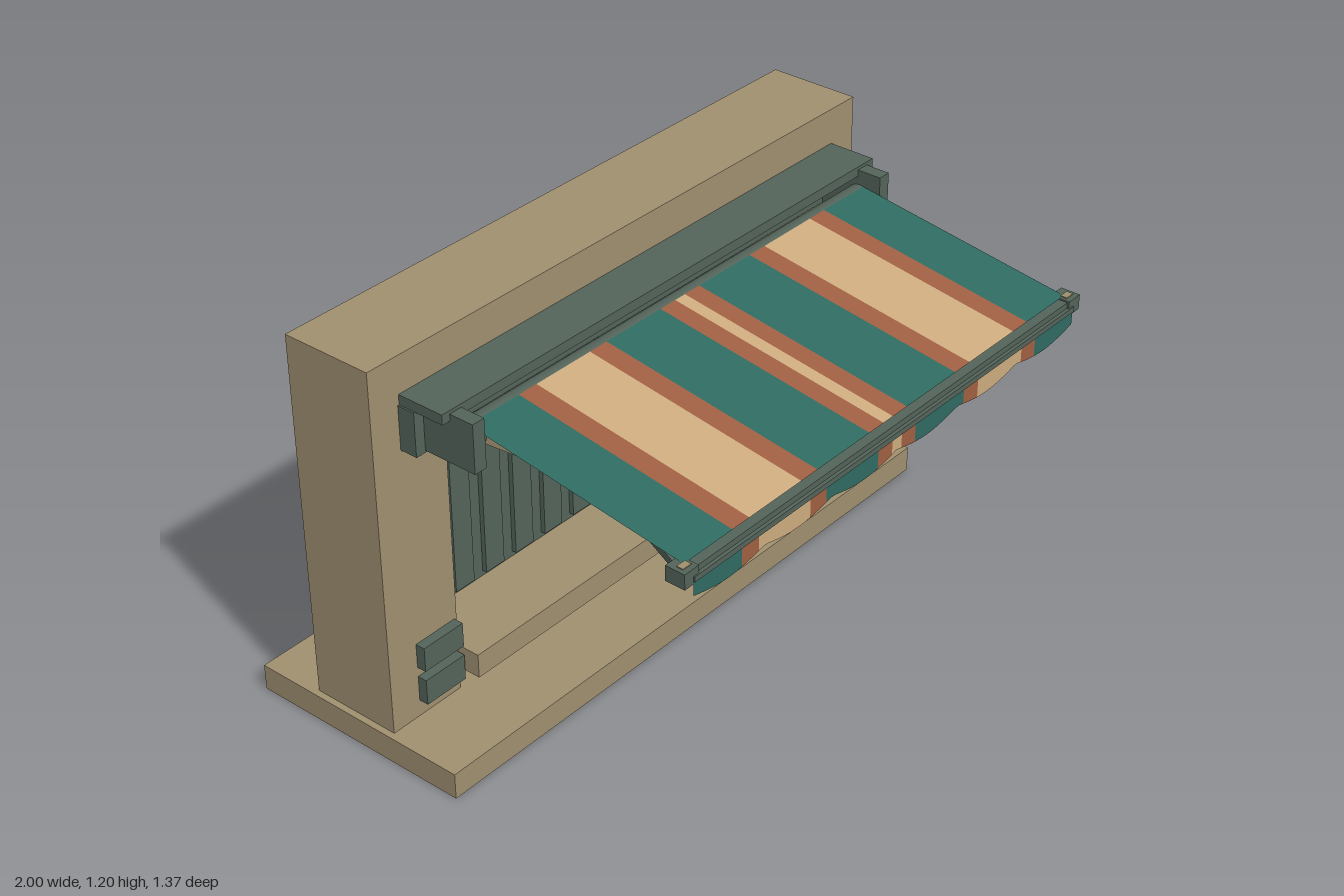
import * as THREE from 'three';

const mat = (name, color, side = THREE.FrontSide) => {
  const m = new THREE.MeshStandardMaterial({ color, side });
  m.name = name;
  return m;
};

export function createModel() {
  const model = new THREE.Group();
  model.name = 'awningKiosk';
  const stone = mat('sandStone', 0xa09070);
  const green = mat('greyGreen', 0x54645a);
  const teal = mat('tealCloth', 0x2f6b62, THREE.DoubleSide);
  const rust = mat('rustCloth', 0xa06043, THREE.DoubleSide);
  const cream = mat('creamCloth', 0xcdac7e, THREE.DoubleSide);

  const add = (name, geo, material, parent = model) => {
    const m = new THREE.Mesh(geo, material);
    m.name = name;
    parent.add(m);
    return m;
  };
  // box given by its min and max on each axis
  const box = (name, material, x0, x1, y0, y1, z0, z1) => {
    const m = add(name, new THREE.BoxGeometry(x1 - x0, y1 - y0, z1 - z0), material);
    m.position.set((x0 + x1) / 2, (y0 + y1) / 2, (z0 + z1) / 2);
    return m;
  };
  // the same box on both sides of x = 0
  const pair = (name, material, x0, x1, ...yz) => {
    box(name + 'Left', material, x0, x1, ...yz);
    box(name + 'Right', material, -x1, -x0, ...yz);
  };
  // square bar between two points
  const bar = (name, material, a, b, w, h) => {
    const p = new THREE.Vector3(...a), q = new THREE.Vector3(...b);
    const m = add(name, new THREE.BoxGeometry(w, h, p.distanceTo(q)), material);
    m.position.copy(p).add(q).multiplyScalar(0.5);
    m.lookAt(q);
  };

  // Base and wall with a wide opening
  box('base', stone, -1, 1, 0, 0.08, -0.685, 0.035);
  pair('pier', stone, 0.727, 0.98, 0.08, 1.02, -0.49, -0.205);
  box('lintel', stone, -0.98, 0.98, 1.02, 1.2, -0.49, -0.205);

  // Shutter with raised slats, and the counter in front of it
  box('shutter', green, -0.727, 0.727, 0.107, 1.02, -0.497, -0.37);
  for (let i = 0; i < 12; i++) {
    const x = (i - 5.5) * 0.12;
    box('shutterSlat', green, x - 0.036, x + 0.036, 0.242, 0.782, -0.37, -0.355);
  }
  box('counter', stone, -0.727, 0.727, 0.15, 0.225, -0.37, -0.132);
  pair('lowerWallBlock', green, 0.735, 0.88, 0.13, 0.21, -0.205, -0.175);
  pair('upperWallBlock', green, 0.735, 0.88, 0.24, 0.316, -0.205, -0.175);

  // Awning housing
  box('housingHood', green, -0.88, 0.88, 1.06, 1.09, -0.205, -0.057);
  box('housingBack', green, -0.83, 0.83, 0.935, 1.06, -0.205, -0.18);
  pair('housingEnd', green, 0.812, 0.853, 0.934, 1.08, -0.18, 0.02);
  pair('wallBracket', green, 0.83, 0.885, 0.928, 1.06, -0.205, -0.15);
  const roller = add('roller', new THREE.CylinderGeometry(0.04, 0.04, 1.62, 20), green);
  roller.rotation.z = Math.PI / 2;
  roller.position.set(0, 0.997, -0.05);

  // Folding arms
  for (const s of [1, -1]) {
    const shoulder = [s * 0.77, 0.99, -0.06], elbow = [s * 0.68, 0.942, 0.31], tip = [s * 0.79, 0.885, 0.65];
    bar('upperArm', stone, shoulder, elbow, 0.035, 0.024);
    bar('forearm', green, elbow, tip, 0.03, 0.022);
    const joint = add('elbowJoint', new THREE.CylinderGeometry(0.022, 0.022, 0.03, 16), stone);
    joint.position.set(...elbow);
  }
  pair('armTip', stone, 0.785, 0.825, 0.874, 0.888, 0.62, 0.66);

  // Front rail
  box('frontRail', green, -0.81, 0.81, 0.894, 0.91, 0.64, 0.684);
  box('frontRailTop', green, -0.81, 0.81, 0.91, 0.927, 0.645, 0.674);
  pair('railCap', green, 0.79, 0.842, 0.887, 0.932, 0.62, 0.68);
  pair('railCapPlate', stone, 0.8, 0.83, 0.932, 0.935, 0.645, 0.665);

  // Striped canvas and scalloped valance
  const half = [[0.02, 0.08, rust], [0.08, 0.295, teal], [0.295, 0.36, rust],
    [0.36, 0.563, cream], [0.563, 0.628, rust], [0.628, 0.81, teal]];
  const stripes = [[-0.02, 0.02, cream], ...half, ...half.map(([a, b, m]) => [-b, -a, m])];
  const back = [1.036, -0.045], front = [0.932, 0.65];
  const length = Math.hypot(front[0] - back[0], front[1] - back[1]);
  const slope = Math.atan2(back[0] - front[0], front[1] - back[1]);
  const hem = (x) => 0.853 - 0.02 * Math.abs(Math.sin(((x + 0.81) / 1.62) * Math.PI * 6));
  for (const [x0, x1, m] of stripes) {
    const cloth = add('canvasStripe', new THREE.PlaneGeometry(x1 - x0, length), m);
    cloth.rotation.x = -Math.PI / 2 + slope;
    cloth.position.set((x0 + x1) / 2, (back[0] + front[0]) / 2, (back[1] + front[1]) / 2);

    const shape = new THREE.Shape();
    shape.moveTo(x1, 0.905);
    shape.lineTo(x0, 0.905);
    for (let i = 0; i <= 12; i++) {
      const x = x0 + ((x1 - x0) * i) / 12;
      shape.lineTo(x, hem(x));
    }
    add('valanceStripe', new THREE.ShapeGeometry(shape), m).position.z = 0.68;
  }
  return model;
}
